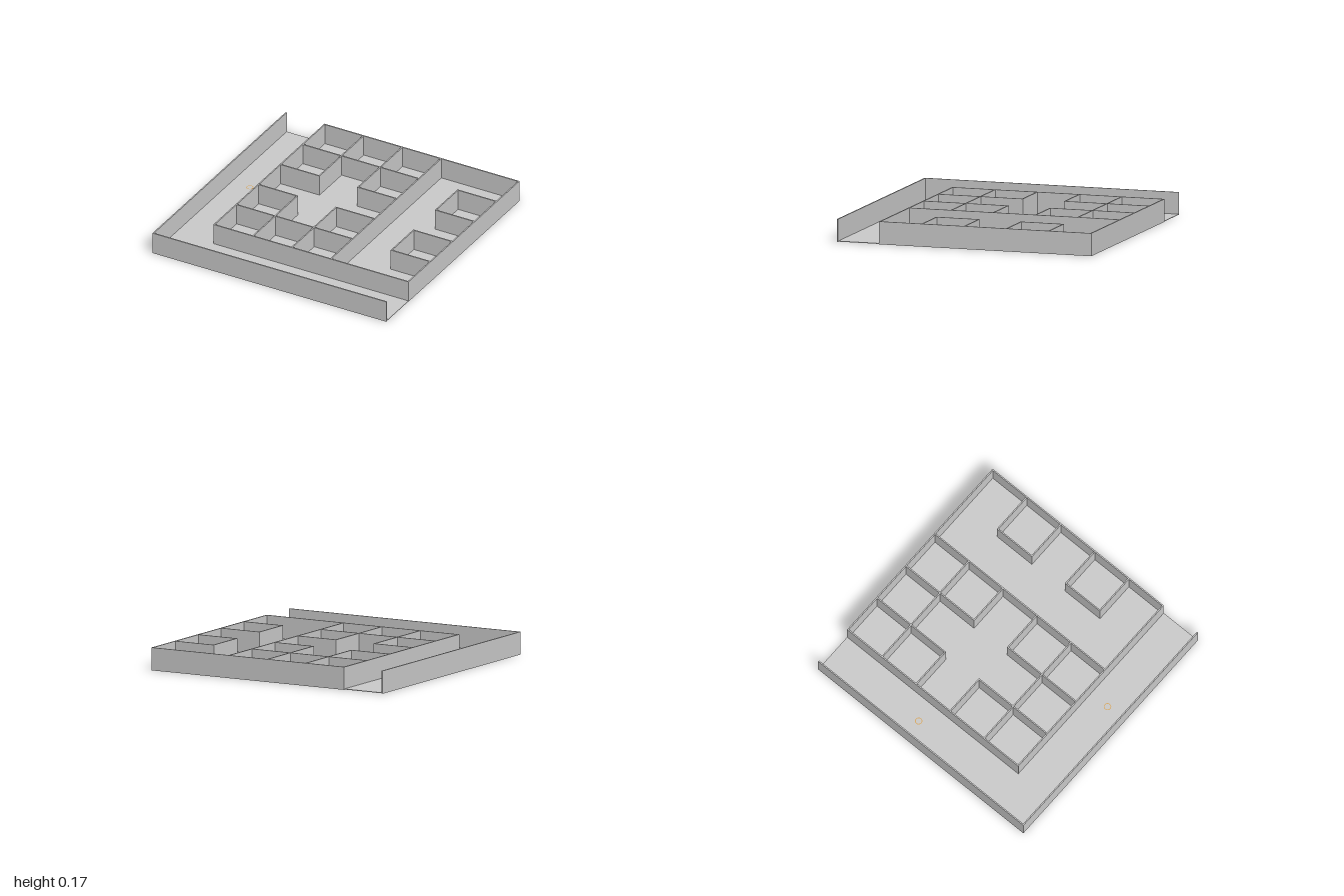
import * as THREE from 'three';

const CELL = 0.3317;   // grid spacing between wall centres
const T = 0.01;        // wall thickness
const H = 0.172;       // wall height

// walls running along z: [column, from row, to row], grid lines -3..3
const ALONG_Z = [
  [-3, -3, 3], [3, -3, 2],
  [-2, -3, 2], [1, -3, 2],
  [-1, -3, -1], [-1, 0, 2],
  [0, -3, -1], [0, 0, 2],
  [2, -2, -1], [2, 0, 1],
];

// walls running along x: [row, from column, to column]
const ALONG_X = [
  [-3, -2, 3], [3, -3, 3], [2, -2, 3],
  [-2, -2, 1], [1, -2, 1],
  [-1, -2, -1], [-1, 0, 1],
  [0, -2, -1], [0, 0, 1],
  [-2, 2, 3], [-1, 2, 3], [0, 2, 3], [1, 2, 3],
];

export function createModel() {
  const group = new THREE.Group();
  const grey = new THREE.MeshStandardMaterial({ color: 0xcccccc, flatShading: true });
  const tan = new THREE.MeshStandardMaterial({ color: 0xd8a860, side: THREE.DoubleSide });

  // thin floor, set just above the feet of the walls
  const floor = new THREE.Mesh(new THREE.BoxGeometry(2, 0.004, 2), grey);
  floor.name = 'floor';
  floor.position.y = 0.005;
  group.add(floor);

  // maze walls
  const wall = (line, from, to, alongX) => {
    const outer = Math.abs(line) === 3;
    const length = (to - from) * CELL + T;
    const mesh = new THREE.Mesh(
      new THREE.BoxGeometry(alongX ? length : T, H, alongX ? T : length), grey);
    const mid = (from + to) / 2 * CELL;
    mesh.position.set(alongX ? mid : line * CELL, H / 2, alongX ? line * CELL : mid);
    mesh.name = outer ? 'outerWall' : 'innerWall';
    group.add(mesh);
  };
  for (const [c, a, b] of ALONG_Z) wall(c, a, b, false);
  for (const [r, a, b] of ALONG_X) wall(r, a, b, true);

  // small flat rings marking two corridor cells
  for (const [x, z] of [[-0.83, -0.165], [0.165, 0.83]]) {
    const ring = new THREE.Mesh(new THREE.RingGeometry(0.022, 0.028, 20), tan);
    ring.name = 'floorMarker';
    ring.rotation.x = -Math.PI / 2;
    ring.position.set(x, 0.009, z);
    group.add(ring);
  }
  return group;
}
